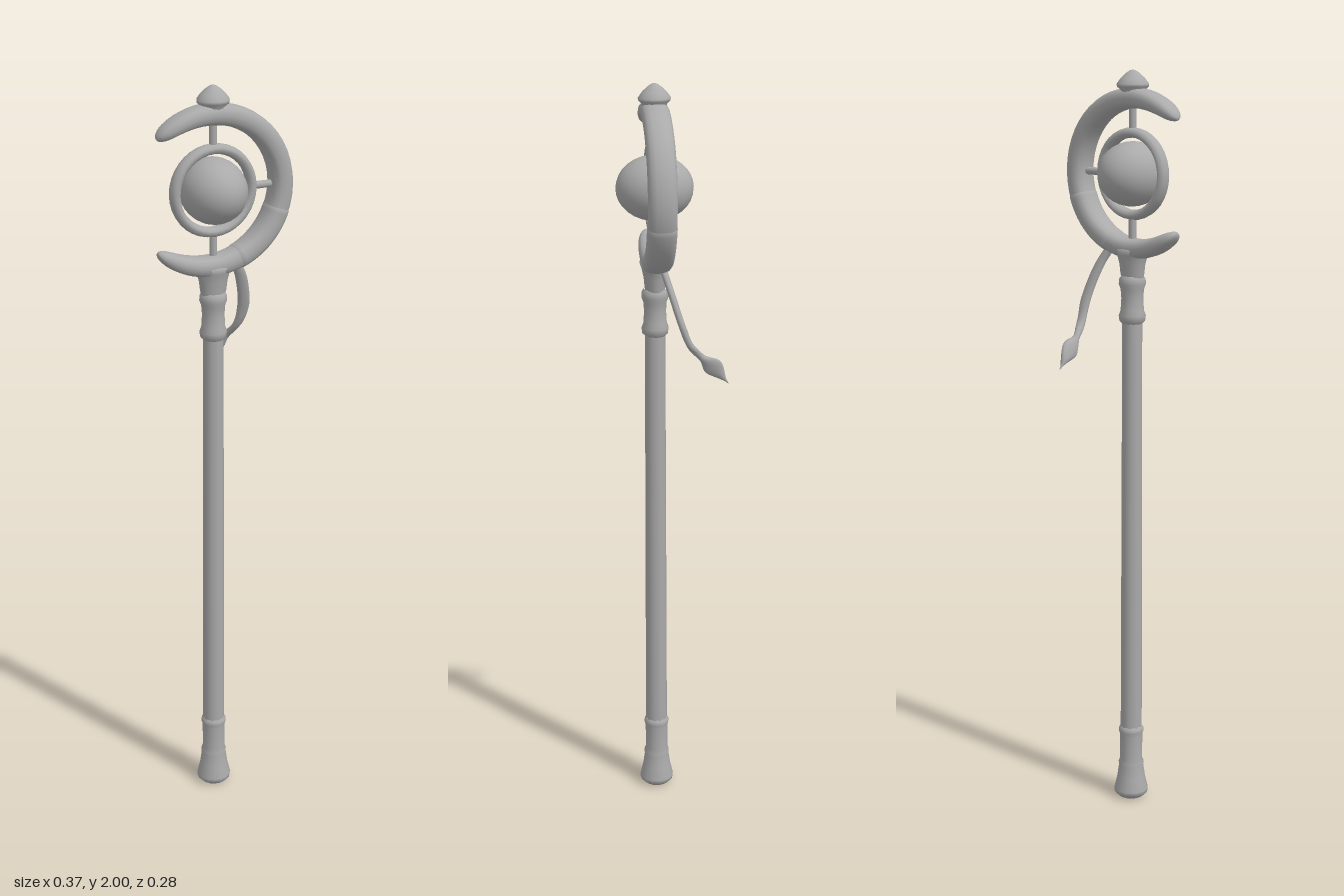
import * as THREE from 'three';

const grey = new THREE.MeshStandardMaterial({ color: 0xaaaaaa });
grey.name = 'stone grey';

const AX = -0.037, AZ = 0.041, HEAD_Y = 1.735;

// Closed loft: section(t) gives centre c and half-axes u, v (u x v points along the path)
function loft(section, steps, sides, power = 1) {
  const pos = [], idx = [];
  const bend = (k) => Math.sign(k) * Math.abs(k) ** power;
  for (let i = 0; i <= steps; i++) {
    const { c, u, v } = section(i / steps);
    for (let j = 0; j < sides; j++) {
      const a = (j / sides) * Math.PI * 2;
      const p = c.clone().addScaledVector(u, bend(Math.cos(a))).addScaledVector(v, bend(Math.sin(a)));
      pos.push(p.x, p.y, p.z);
      if (i < steps) {
        const k = (j + 1) % sides, r = i * sides, n = r + sides;
        idx.push(r + j, r + k, n + j, r + k, n + k, n + j);
      }
    }
  }
  const g = new THREE.BufferGeometry();
  g.setAttribute('position', new THREE.Float32BufferAttribute(pos, 3));
  g.setIndex(idx);
  g.computeVertexNormals();
  return g;
}

// Section of the crescent at an angle around the head centre
const SPAN = THREE.MathUtils.degToRad(137);
function crescentSection(angle, scale) {
  const s = Math.min(1, Math.abs(angle) / SPAN);
  const end = Math.sqrt(Math.max(1e-6, 1 - s ** 24));
  const radius = 0.19 + 0.018 * s ** 4;
  const dir = new THREE.Vector3(Math.cos(angle), Math.sin(angle), 0);
  return {
    c: new THREE.Vector3(AX, HEAD_Y, AZ).addScaledVector(dir, radius),
    u: dir.clone().multiplyScalar(0.029 * (1 - 0.4 * s ** 4) * end * scale),
    v: new THREE.Vector3(0, 0, -0.037 * (1 - 0.2 * s ** 6) * end * scale),
  };
}

export function createModel() {
  const group = new THREE.Group();
  group.name = 'staff';
  const add = (name, geometry, x = AX, y = 0, z = AZ) => {
    const m = new THREE.Mesh(geometry, grey);
    m.name = name;
    m.position.set(x, y, z);
    group.add(m);
    return m;
  };
  const lathe = (pts, sides) =>
    new THREE.LatheGeometry(pts.map(([r, y]) => new THREE.Vector2(r, y)), sides);

  // Pole and its turned ends
  add('shaft', new THREE.CylinderGeometry(0.027, 0.03, 1.2, 10, 1, true), AX, 0.78);
  add('foot', lathe([[0, 0.002], [0.035, 0.005], [0.046, 0.016], [0.047, 0.026], [0.039, 0.06],
    [0.034, 0.095], [0.035, 0.105], [0.031, 0.115], [0.031, 0.185], [0.034, 0.195],
    [0.034, 0.205], [0.028, 0.212]], 16));
  add('grip', lathe([[0.026, 1.343], [0.034, 1.35], [0.036, 1.365], [0.031, 1.378], [0.029, 1.41],
    [0.031, 1.435], [0.036, 1.448], [0.035, 1.462], [0.029, 1.47]], 16));

  // Socket flares sideways but stays slim in depth
  const socket = add('socket', lathe([[0.03, 1.455], [0.035, 1.475], [0.038, 1.5],
    [0.045, 1.525], [0.052, 1.54], [0.03, 1.55]], 16));
  socket.scale.z = 0.78;
  socket.position.z = AZ;

  // Crescent with a wrapped sleeve on its lower outer side
  add('crescent', loft((t) => crescentSection(SPAN * Math.sin((t - 0.5) * Math.PI), 1), 56, 16, 0.8), 0, 0, 0);
  add('sleeve', loft((t) => {
    const a = THREE.MathUtils.degToRad(-72 + 55 * t);
    return crescentSection(a, t === 0 || t === 1 ? 0.9 : 1.04);
  }, 20, 16, 0.8), 0, 0, 0);

  // Orb, its ring and the three spokes
  add('orb', new THREE.SphereGeometry(0.084, 24, 16), AX, HEAD_Y).scale.z = 1.2;
  add('ring', new THREE.TorusGeometry(0.106, 0.0135, 10, 36), AX, HEAD_Y).scale.z = 1.4;
  for (const angle of [0, Math.PI / 2, -Math.PI / 2]) {
    const spoke = add('spoke', new THREE.CylinderGeometry(0.01, 0.01, 0.075, 8),
      AX + 0.14 * Math.cos(angle), HEAD_Y + 0.14 * Math.sin(angle));
    spoke.rotation.z = angle - Math.PI / 2;
  }

  // Finial
  add('finial', lathe([[0.03, 1.935], [0.033, 1.95], [0.041, 1.957], [0.042, 1.964], [0.032, 1.978],
    [0.018, 1.991], [0.008, 1.998], [0, 2]], 14));

  // Hanging ribbon that twists and ends in a leaf
  const path = new THREE.CatmullRomCurve3([
    [0.02, 1.55, 0.03], [0.045, 1.515, 0.02], [0.064, 1.47, 0.006], [0.079, 1.40, -0.016],
    [0.074, 1.345, -0.038], [0.062, 1.31, -0.068], [0.056, 1.28, -0.1], [0.052, 1.232, -0.142],
  ].map((p) => new THREE.Vector3(...p)));
  const widths = [0.012, 0.014, 0.016, 0.017, 0.013, 0.009, 0.026, 0.001];
  add('ribbon', loft((t) => {
    const k = Math.min(6, Math.floor(t * 7)), f = t * 7 - k;
    const w = THREE.MathUtils.lerp(widths[k], widths[k + 1], f * f * (3 - 2 * f));
    const c = path.getPoint(t), dir = path.getTangent(t);
    const twist = THREE.MathUtils.smoothstep(t, 0.5, 0.85);
    const side = new THREE.Vector3(1, 0.3, 0.2).lerp(new THREE.Vector3(0.25, 0.7, -0.7), twist);
    side.addScaledVector(dir, -side.dot(dir)).normalize();
    const thick = Math.min(w, 0.009);
    return { c, u: side.clone().multiplyScalar(w), v: dir.cross(side).multiplyScalar(thick) };
  }, 42, 10), 0, 0, 0);

  return group;
}
